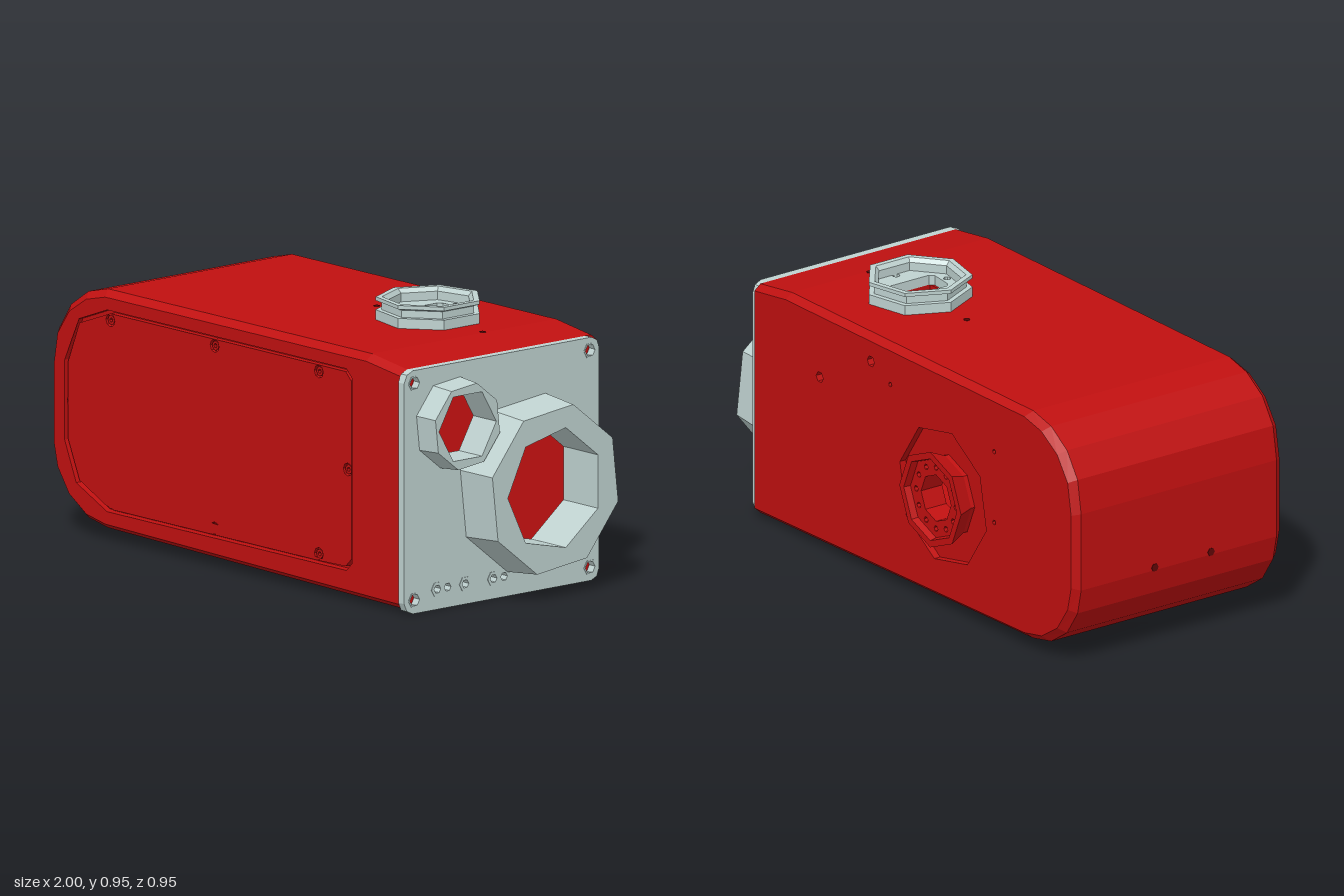
import * as THREE from 'three';

const mat = (color) => new THREE.MeshStandardMaterial({ color, flatShading: true, side: THREE.DoubleSide });

export function createModel() {
  const model = new THREE.Group();
  const red = mat(0xc01010), darkRed = mat(0x600606), grey = mat(0xbfd2d0);

  const add = (name, geometry, material, x = 0, y = 0, z = 0) => {
    const mesh = new THREE.Mesh(geometry, material);
    mesh.name = name;
    mesh.position.set(x, y, z);
    model.add(mesh);
    return mesh;
  };
  const vec = (pts) => pts.map(([x, y]) => new THREE.Vector2(x, y));
  const ngon = (cx, cy, r, n, start = 0) => Array.from({ length: n }, (_, i) => {
    const a = start + (i * 2 * Math.PI) / n;
    return [cx + r * Math.cos(a), cy + r * Math.sin(a)];
  });
  const extrude = (outline, depth, holes = []) => {
    const shape = new THREE.Shape(vec(outline));
    shape.holes = holes.map((h) => new THREE.Path(vec(h)));
    return new THREE.ExtrudeGeometry(shape, { depth, bevelEnabled: false });
  };

  // Housing profiles: outside and inside of the wall
  const outer = [[0.82, 0.01], [-0.73, 0.04], [-0.83, 0.06], [-0.92, 0.12], [-0.98, 0.21], [-1, 0.3],
    [-1, 0.58], [-0.98, 0.7], [-0.92, 0.79], [-0.83, 0.85], [-0.73, 0.875], [0.64, 0.875], [0.82, 0.85]];
  const inner = [[0.82, 0.08], [-0.72, 0.11], [-0.86, 0.17], [-0.93, 0.3],
    [-0.93, 0.58], [-0.86, 0.74], [-0.72, 0.805], [0.64, 0.805], [0.82, 0.78]];
  const slab = (name, outline, z0, z1, holes) => add(name, extrude(outline, z1 - z0, holes), red, 0, 0, z0);

  // Slab whose outline is drawn in at one end to chamfer the housing edge
  const chamferSlab = (name, z0, z1, atFar, holes) => {
    const geo = extrude(outer, z1 - z0, holes), p = geo.attributes.position;
    for (let i = 0; i < p.count; i++) {
      const x = p.getX(i), y = p.getY(i);
      const onOutline = outer.some(([a, b]) => Math.hypot(a - x, b - y) < 1e-4);
      if (onOutline && (p.getZ(i) > 1e-4) === atFar) {
        p.setXY(i, 0.82 + (x - 0.82) * 0.987, 0.44 + (y - 0.44) * 0.95);
      }
    }
    geo.computeVertexNormals();
    add(name, geo, red, 0, 0, z0);
  };

  // Hollow housing, with a gap in the roof under the top mount
  const ring = [...outer, ...[...inner].reverse()];
  slab('housingWallFront', ring, 0.025, 0.37);
  slab('housingWallBack', ring, -0.36, -0.165);
  slab('housingWallMiddle', [...outer.slice(0, 11), [0.3, 0.875], [0.3, 0.805],
    ...inner.slice(0, 7).reverse()], -0.165, 0.025);
  slab('roofWallMiddle', [[0.415, 0.875], [0.64, 0.875], [0.82, 0.85], [0.82, 0.78], [0.64, 0.805],
    [0.415, 0.805]], -0.165, 0.025);
  slab('frontWall', outer, 0.37, 0.44);

  // Service cover set in the front, with a groove round it
  const cover = [[-0.92, 0.32], [-0.92, 0.6], [-0.86, 0.75], [-0.7, 0.81], [0.54, 0.81], [0.57, 0.78],
    [0.57, 0.135], [0.54, 0.105], [-0.7, 0.105], [-0.86, 0.18]];
  const shrunk = cover.map(([x, y]) => [-0.175 + (x + 0.175) * 0.985, 0.457 + (y - 0.457) * 0.965]);
  chamferSlab('frontRim', 0.44, 0.47, true, [cover]);
  const coverScrews = [[-0.69, 0.775], [-0.15, 0.775], [0.39, 0.775], [0.54, 0.457],
    [0.39, 0.137], [-0.15, 0.137], [-0.69, 0.137], [-0.893, 0.457]];
  slab('frontCover', shrunk, 0.435, 0.464, coverScrews.map(([x, y]) => ngon(x, y, 0.023, 8)));
  coverScrews.forEach(([x, y]) =>
    slab('coverScrew', ngon(x, y, 0.017, 8), 0.44, 0.46, [ngon(x, y, 0.008, 6)]));

  // Back wall with a pocket, screw holes and a flared outlet
  const bx = -0.25, by = 0.415;
  const backHoles = [[0.45, 0.63, 0.02], [0.16, 0.78, 0.02], [0.05, 0.73, 0.009],
    [-0.54, 0.67, 0.009], [-0.54, 0.41, 0.009]];
  chamferSlab('backRim', -0.42, -0.395, false,
    [ngon(bx, by, 0.25, 8, 0.2), ...backHoles.map(([x, y, r]) => ngon(x, y, r, 6))]);
  slab('backWall', outer, -0.395, -0.36, [ngon(bx, by, 0.085, 8)]);
  const outlet = new THREE.LatheGeometry(vec([[0.14, 0], [0.175, 0.08], [0.15, 0.08], [0.145, 0.055]]), 8);
  add('outletRim', outlet.rotateX(-Math.PI / 2), red, bx, by, -0.395);
  slab('outletFace', ngon(bx, by, 0.147, 8, Math.PI / 2), -0.45, -0.395,
    [ngon(bx, by, 0.085, 8), ...ngon(bx, by, 0.112, 12).map(([x, y]) => ngon(x, y, 0.011, 6))]);

  // Small holes in the roof and in the rounded end
  [0.08, 0.63].forEach((x) => add('roofHole', new THREE.CylinderGeometry(0.012, 0.012, 0.004, 6), darkRed, x, 0.875, -0.07));
  [-0.08, 0.16].forEach((z) => add('endHole',
    new THREE.CylinderGeometry(0.015, 0.015, 0.004, 6).rotateZ(Math.PI / 2), darkRed, -1, 0.31, z));

  // Grey end plate: shapes are drawn with -z to the right and pushed out along x
  const endPart = (name, outline, x0, x1, holes) =>
    add(name, extrude(outline, x1 - x0, holes).rotateY(Math.PI / 2), grey, x0);
  const big = [0.075, 0.385], small = [-0.27, 0.645];
  const bigHole = ngon(...big, 0.215, 7, Math.PI), smallHole = ngon(...small, 0.13, 6);
  const corners = [[-0.433, 0.805], [0.363, 0.805], [-0.433, 0.047], [0.363, 0.047]];
  const ports = [[-0.33, 0.015], [-0.282, 0.015], [-0.203, 0.015], [-0.075, 0.015], [-0.026, 0.015]];
  endPart('endPlate', [[-0.44, 0], [0.37, 0], [0.395, 0.012], [0.405, 0.04], [0.405, 0.81], [0.395, 0.838],
    [0.37, 0.85], [-0.44, 0.85], [-0.467, 0.838], [-0.48, 0.81], [-0.48, 0.04], [-0.467, 0.012]], 0.82, 0.85,
  [bigHole, smallHole, ...corners.map(([x, y]) => ngon(x, y, 0.024, 6)),
    ...ports.map(([x, r]) => ngon(x, 0.071, r, 6))]);
  corners.forEach(([x, y]) => endPart('cornerHoleRim', ngon(x, y, 0.028, 6), 0.845, 0.852, [ngon(x, y, 0.022, 6)]));
  [0, 2, 3].forEach((i) => endPart('portRim', ngon(ports[i][0], 0.071, 0.027, 6), 0.845, 0.852,
    [ngon(ports[i][0], 0.071, 0.015, 6)]));

  // Two faceted sockets, each slightly wider at the plate
  const socket = (name, [cx, cy], r, x1, hole) => {
    const sides = 8, start = Math.PI - 0.28;
    const mesh = endPart(name, ngon(cx, cy, r, sides, start), 0.85, x1, [hole]);
    const p = mesh.geometry.attributes.position;
    for (let i = 0; i < p.count; i++) {
      const dy = p.getY(i) - cy, dz = p.getZ(i) + cx;
      if (p.getX(i) < 1e-4 && Math.hypot(dy, dz) > r * 0.98) {
        p.setY(i, cy + dy * 1.05);
        p.setZ(i, -cx + dz * 1.05);
      }
    }
    mesh.geometry.computeVertexNormals();
  };
  socket('largeSocket', big, 0.297, 1, bigHole);
  socket('smallSocket', small, 0.152, 0.94, smallHole);

  // Seven-sided top mount: base with a cable opening, neck and flange
  const mx = 0.355, mz = -0.07;
  const opening = [[-0.055, -0.08], [-0.04, -0.095], [0.045, -0.105], [0.06, -0.09],
    [0.06, 0.09], [0.045, 0.1], [-0.04, 0.095], [-0.055, 0.08]];
  const screwSpots = [[0, 0.123], [0, -0.123], [0.125, 0]];
  add('topMountBase', extrude(ngon(0, 0, 0.185, 7, Math.PI), 0.035,
    [opening, ...screwSpots.map(([x, y]) => ngon(x, y, 0.013, 8))]).rotateX(-Math.PI / 2), grey, mx, 0.875, mz);
  const neck = [[0.165, 0.91], [0.165, 0.935], [0.185, 0.942], [0.185, 0.955], [0.163, 0.955], [0.15, 0.94], [0.15, 0.91]];
  add('topMountNeck', new THREE.LatheGeometry(vec(neck), 7, -Math.PI / 2), grey, mx, 0, mz);

  return model;
}
